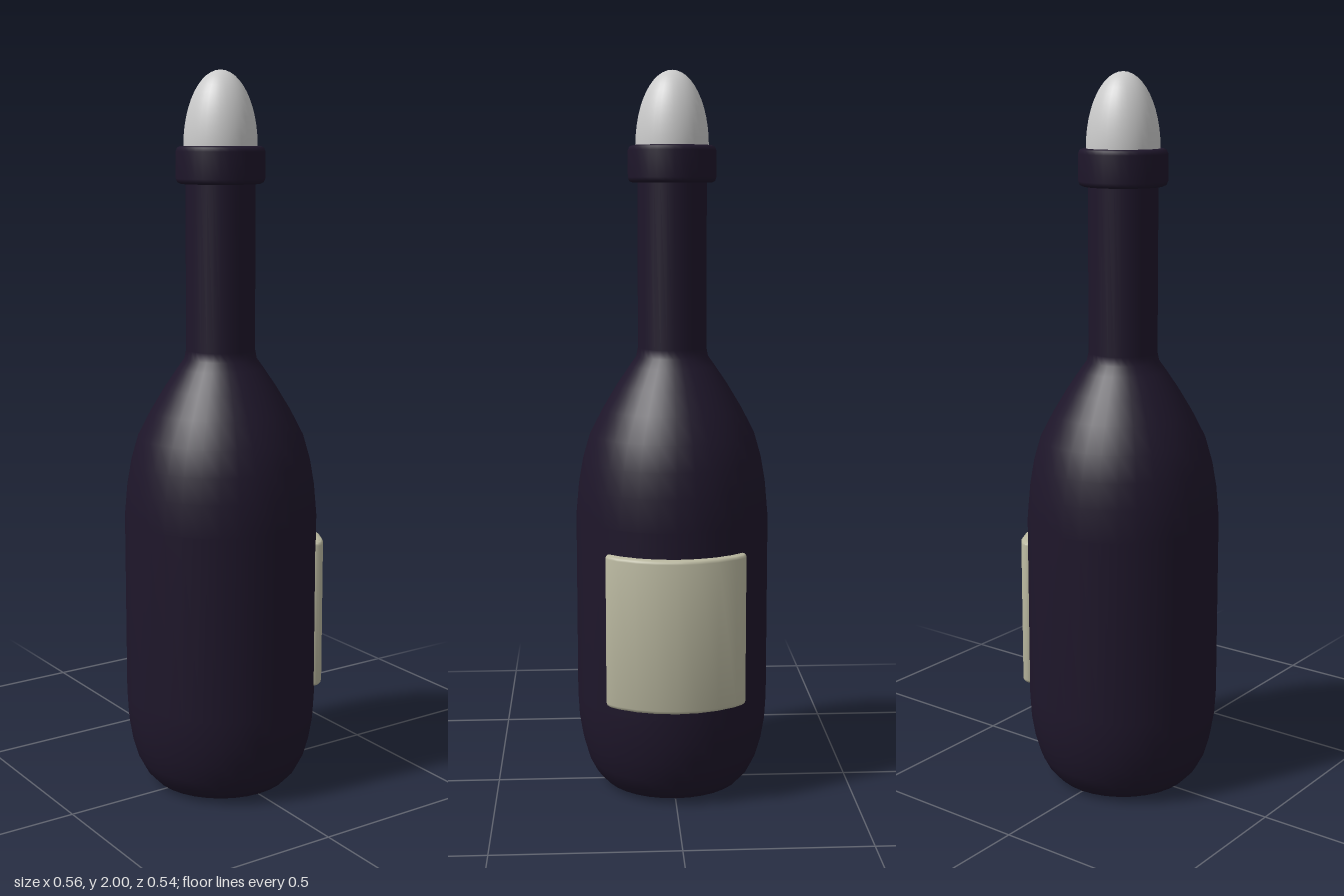
import * as THREE from 'three';
import { toCreasedNormals } from 'three/addons/utils/BufferGeometryUtils.js';

const SIDES = 32;

function lathe(name, points, material) {
  const profile = points.map(([r, y]) => new THREE.Vector2(r, y));
  const mesh = new THREE.Mesh(new THREE.LatheGeometry(profile, SIDES), material);
  mesh.name = name;
  return mesh;
}

// Curved panel hugging the +x side: a ring sector with rounded ends, extruded upwards
function labelGeometry(bottom, top) {
  const polar = (r, deg) => {
    const a = THREE.MathUtils.degToRad(deg);
    return new THREE.Vector2(r * Math.cos(a), r * Math.sin(a));
  };
  const step = 360 / SIDES, outline = [];
  outline.push(polar(0.266, -44.7), polar(0.277, -43.6), polar(0.284, -42), polar(0.288, -39.5));
  for (let i = -3; i <= 3; i++) outline.push(polar(0.29, i * step));
  outline.push(polar(0.288, 39.5), polar(0.284, 42), polar(0.277, 43.6), polar(0.266, 44.7));
  for (let i = 4; i >= -4; i--) outline.push(polar(0.257, i * step * 0.98));

  const bevel = 0.01;
  const geometry = new THREE.ExtrudeGeometry(new THREE.Shape(outline), {
    depth: top - bottom - 2 * bevel, steps: 1,
    bevelEnabled: true, bevelThickness: bevel, bevelSize: bevel,
    bevelOffset: -bevel, bevelSegments: 3,
  });
  geometry.rotateX(-Math.PI / 2);
  geometry.translate(0, bottom + bevel, 0);
  return toCreasedNormals(geometry, 0.8);
}

export function createModel() {
  const glass = new THREE.MeshStandardMaterial({ color: 0x1e162a });
  const paper = new THREE.MeshStandardMaterial({ color: 0xbab8a0 });
  const grey = new THREE.MeshStandardMaterial({ color: 0xcccccc });

  const group = new THREE.Group();
  group.name = 'bottle';

  // Body, shoulder and neck
  group.add(lathe('body', [
    [0, 0], [0.17, 0], [0.195, 0.01], [0.22, 0.037], [0.24, 0.075], [0.256, 0.13],
    [0.266, 0.19], [0.27, 0.26], [0.27, 0.78], [0.262, 0.87], [0.25, 0.94],
    [0.23, 1.01], [0.194, 1.08], [0.155, 1.145], [0.118, 1.2], [0.1, 1.225],
    [0.095, 1.25], [0.095, 1.71],
  ], glass));

  // Rounded collar around the mouth
  group.add(lathe('collar', [
    [0.085, 1.7], [0.108, 1.7], [0.117, 1.704], [0.121, 1.714], [0.121, 1.786],
    [0.117, 1.796], [0.108, 1.8], [0, 1.8],
  ], glass));

  // Domed stopper
  const dome = new THREE.SphereGeometry(0.1, SIDES, 12, 0, Math.PI * 2, 0, Math.PI / 2);
  dome.scale(1, 2, 1);
  const stopper = new THREE.Mesh(dome, grey);
  stopper.name = 'stopper';
  stopper.position.y = 1.8;
  group.add(stopper);

  // Label on the left side
  const label = new THREE.Mesh(labelGeometry(0.285, 0.71), paper);
  label.name = 'label';
  group.add(label);

  // Shift so that bottle plus label is centred
  group.children.forEach((part) => { part.position.x = -0.01; });
  return group;
}
